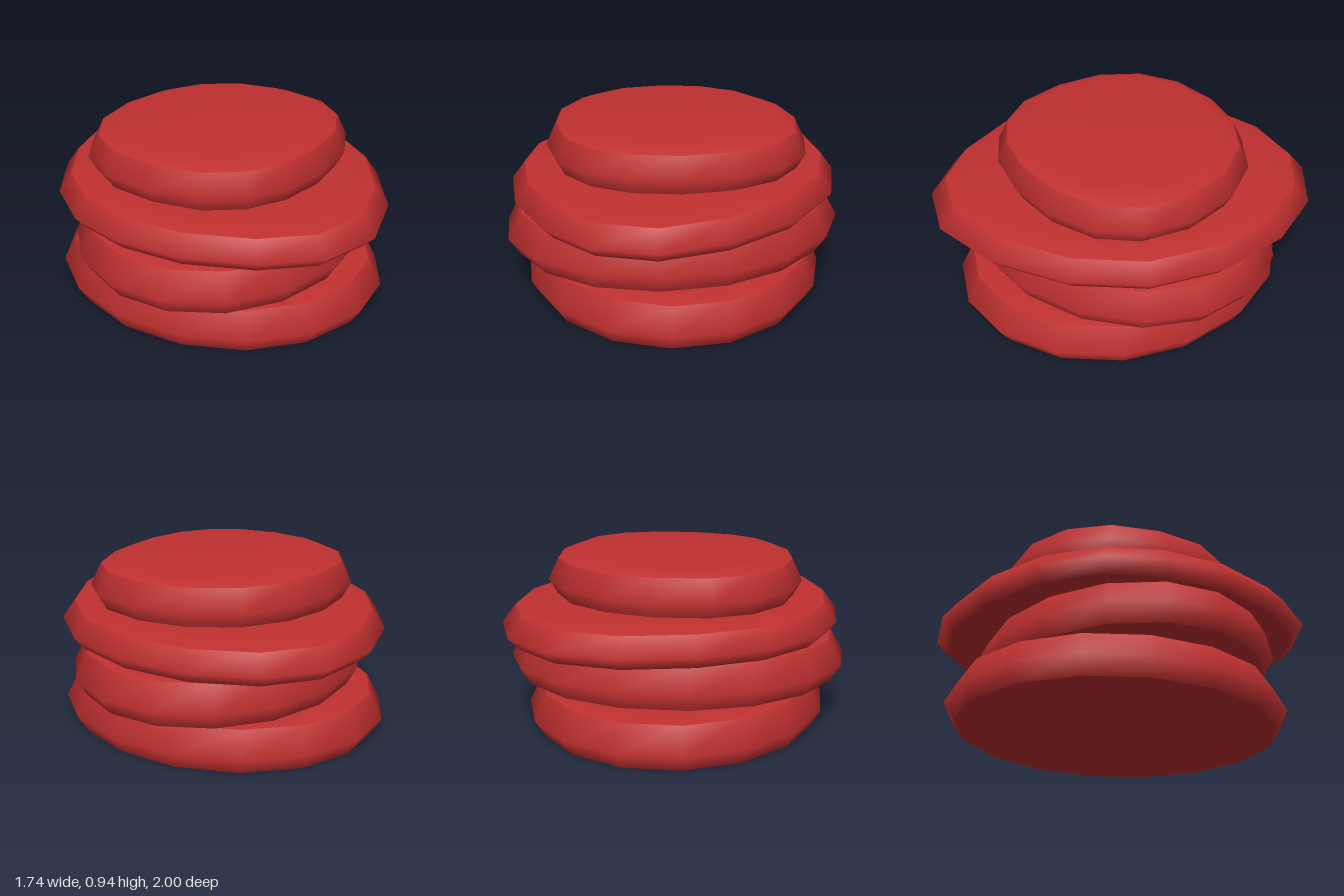
import * as THREE from 'three';

const SIDES = 16;

// Tilted ellipse outline as [x, z] points around the origin
function ellipse(a, b, tiltDeg, phaseDeg) {
  const tilt = THREE.MathUtils.degToRad(tiltDeg);
  return Array.from({ length: SIDES }, (_, i) => {
    const t = THREE.MathUtils.degToRad(phaseDeg) + (i / SIDES) * Math.PI * 2;
    const u = a * Math.cos(t), v = b * Math.sin(t);
    return [u * Math.cos(tilt) - v * Math.sin(tilt), u * Math.sin(tilt) + v * Math.cos(tilt)];
  });
}

// Slice from scaled copies of an outline; each strip of [scale, y] rings is smooth by itself
function sliceGeometry(outline, cx, cz, [y0, y1, y2, y3]) {
  const strips = [
    [[0, y0], [0.935, y0]],                 // flat underside
    [[0.935, y0], [1, y1], [0.92, y2]],     // bulging rim
    [[0.92, y2], [0.78, y3], [0, y3]],      // softly rounded top
  ];
  const pos = [], index = [];
  for (const rings of strips) {
    const base = pos.length / 3;
    for (const [s, y] of rings) {
      for (const [x, z] of outline) pos.push(cx + x * s, y, cz + z * s);
    }
    for (let r = 0; r < rings.length - 1; r++) {
      for (let i = 0; i < SIDES; i++) {
        const j = (i + 1) % SIDES;
        const a = base + r * SIDES, b = a + SIDES;
        if (rings[r][0] > 0) index.push(a + i, b + i, a + j);
        if (rings[r + 1][0] > 0) index.push(a + j, b + i, b + j);
        else if (rings[r][0] > 0) index.push(); // fan is closed by the first triangle
      }
    }
  }
  const geo = new THREE.BufferGeometry();
  geo.setAttribute('position', new THREE.Float32BufferAttribute(pos, 3));
  geo.setIndex(index);
  geo.computeVertexNormals();
  return geo;
}

export function createModel() {
  const group = new THREE.Group();
  group.name = 'slicedStack';
  const material = new THREE.MeshStandardMaterial({ color: 0xc03030 });

  // Irregular hand-cut outlines of the two upper slices
  const wide = [
    [0.865, 0.12], [0.77, 0.53], [0.57, 0.85], [0.28, 0.995], [-0.04, 0.97], [-0.39, 0.82],
    [-0.66, 0.58], [-0.82, 0.31], [-0.87, -0.03], [-0.79, -0.4], [-0.6, -0.74], [-0.32, -0.96],
    [0, -1], [0.34, -0.875], [0.63, -0.62], [0.82, -0.28],
  ];
  const small = [
    [0.71, 0.02], [0.61, 0.27], [0.43, 0.48], [0.21, 0.63], [-0.02, 0.69], [-0.25, 0.65],
    [-0.48, 0.49], [-0.65, 0.27], [-0.71, 0.02], [-0.65, -0.23], [-0.47, -0.46], [-0.24, -0.61],
    [0.03, -0.67], [0.31, -0.61], [0.54, -0.45], [0.69, -0.22],
  ];

  const slices = [
    ['bottomSlice', ellipse(0.925, 0.81, 48, 5), 0, 0.015, [0, 0.09, 0.225, 0.25]],
    ['lowerSlice', ellipse(0.92, 0.77, 125, -4), 0.01, 0.025, [0.25, 0.34, 0.475, 0.51]],
    ['wideSlice', wide, 0, 0, [0.51, 0.575, 0.67, 0.7]],
    ['topSlice', small, 0, 0, [0.7, 0.78, 0.895, 0.935]],
  ];
  for (const [name, outline, cx, cz, heights] of slices) {
    const mesh = new THREE.Mesh(sliceGeometry(outline, cx, cz, heights), material);
    mesh.name = name;
    group.add(mesh);
  }
  return group;
}
